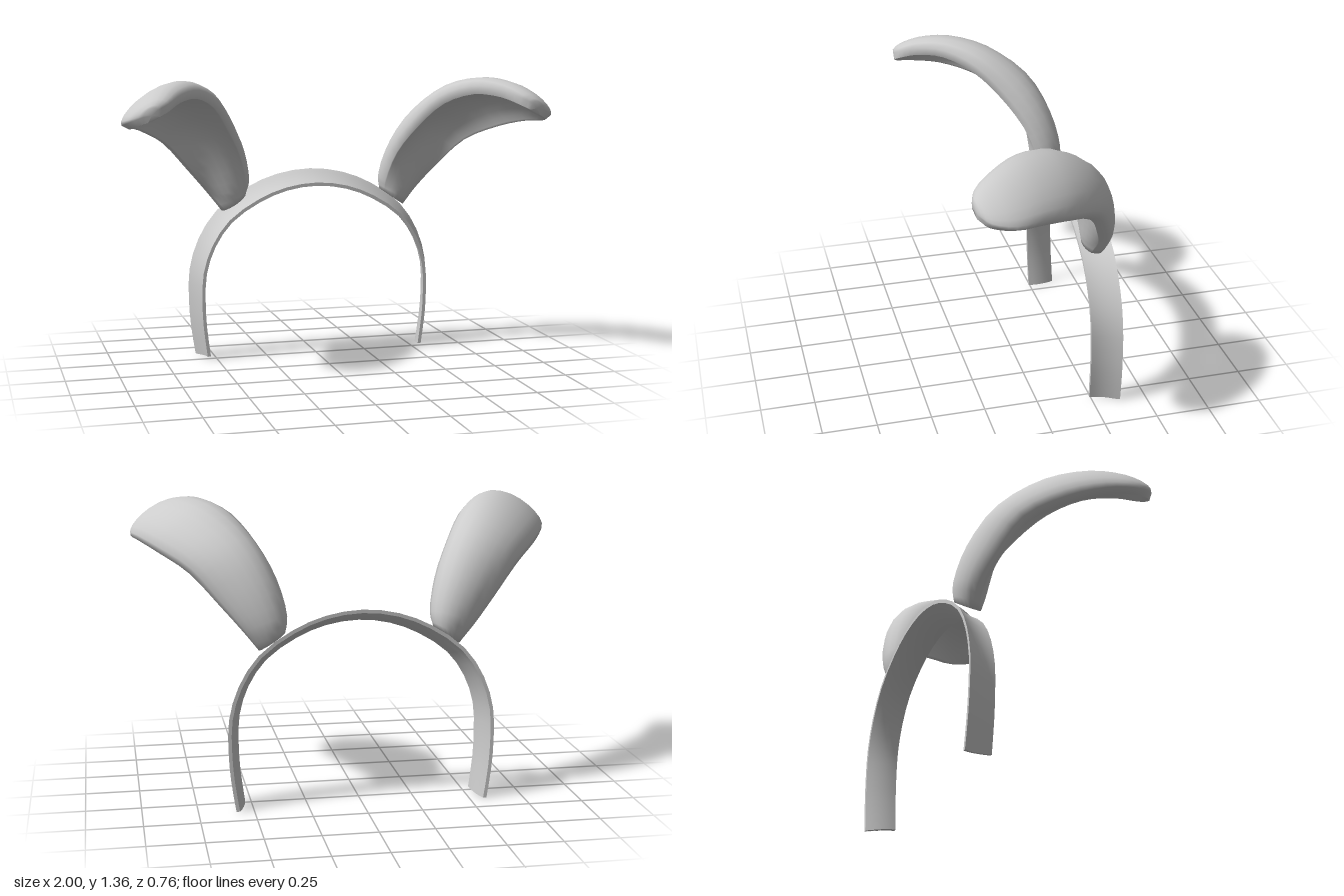
import * as THREE from 'three';
import { toCreasedNormals } from 'three/addons/utils/BufferGeometryUtils.js';

const V = (x, y, z) => new THREE.Vector3(x, y, z);
const curve = (pts) => new THREE.CatmullRomCurve3(pts.map((p) => V(...p)));

// Skin a list of closed rings and cap both ends
function loft(rings) {
  const n = rings[0].length, last = (rings.length - 1) * n, verts = rings.flat(), index = [];
  for (let i = 0; i < rings.length - 1; i++) {
    for (let j = 0; j < n; j++) {
      const a = i * n + j, b = i * n + (j + 1) % n;
      index.push(a, b, a + n, b, b + n, a + n);
    }
  }
  const centre = (ring) => ring.reduce((s, p) => s.add(p), V(0, 0, 0)).divideScalar(n);
  const c0 = verts.length, c1 = c0 + 1;
  const all = [...verts, centre(rings[0]), centre(rings[rings.length - 1])];
  for (let j = 0; j < n; j++) {
    const k = (j + 1) % n;
    index.push(c0, k, j, c1, last + j, last + k);
  }
  const g = new THREE.BufferGeometry().setFromPoints(all);
  g.setIndex(index);
  g.computeVertexNormals();
  return g;
}

// Thin strip bent over the head, flaring wider towards its back edge
function headbandGeometry() {
  const half = [[0.555, 0], [0.575, 0.15], [0.582, 0.28], [0.576, 0.42], [0.532, 0.56],
    [0.445, 0.688], [0.3, 0.79], [0.158, 0.847]];
  const path = curve([
    ...half.map(([x, y]) => [-x, y, 0]), [0, 0.868, 0],
    ...half.slice().reverse().map(([x, y]) => [x, y, 0]),
  ]);
  const steps = 32, across = 6, rings = [];
  for (let i = 0; i <= steps; i++) {
    const p = path.getPoint(i / steps), t = path.getTangent(i / steps);
    const out = V(-t.y, t.x, 0), drop = 1 - p.y / 0.87;
    const front = -0.225 - 0.015 * drop, back = -0.358 - 0.02 * drop;
    const flare = 0.036 - 0.01 * drop;
    // s runs from the back edge (0) to the front edge (1)
    const at = (s, thick) => {
      const dip = 0.01 * (1 - (2 * s - 1) ** 2);
      const offset = flare - (2 * flare - 0.016) * s - dip - thick;
      const q = p.clone().addScaledVector(out, offset);
      q.y = Math.max(q.y + 0.01 * s * drop, 0);
      q.z = back + (front - back) * s;
      return q;
    };
    const ring = [];
    for (let k = 0; k <= across; k++) ring.push(at(k / across, 0));
    for (let k = across; k >= 0; k--) ring.push(at(k / across, 0.016));
    rings.push(ring);
  }
  return toCreasedNormals(loft(rings), 0.9);
}

// Scooped ear: outer and inner edge curves, arched back, shallow hollow front
function earGeometry(side) {
  const outer = curve([[0.46, 0.72, -0.29], [0.53, 0.81, -0.3], [0.63, 0.925, -0.26],
    [0.755, 1.06, -0.185], [0.885, 1.135, -0.03], [0.965, 1.17, 0.12], [0.998, 1.18, 0.23],
    [0.975, 1.2, 0.325], [0.92, 1.225, 0.37]]);
  const inner = curve([[0.34, 0.8, -0.285], [0.33, 0.86, -0.255], [0.365, 1.01, -0.19],
    [0.44, 1.15, -0.09], [0.53, 1.27, 0.03], [0.64, 1.325, 0.16], [0.74, 1.315, 0.28],
    [0.81, 1.28, 0.36], [0.86, 1.255, 0.38]]);
  // height of the back and of the hollow at each station
  const depth = curve([[0.06, -0.06, 0], [0.09, -0.065, 0], [0.118, -0.025, 0],
    [0.13, 0.03, 0], [0.118, 0.045, 0], [0.092, 0.025, 0], [0.068, 0, 0],
    [0.042, -0.035, 0], [0.02, -0.03, 0]]);
  const mid = (t) => outer.getPoint(t).add(inner.getPoint(t)).multiplyScalar(0.5);
  const steps = 24, arc = 10, rings = [];
  for (let i = 0; i <= steps; i++) {
    const t = i / steps, m = mid(t), d = depth.getPoint(t);
    const w = outer.getPoint(t).sub(m), h = w.length();
    w.normalize();
    const dir = mid(Math.min(1, t + 0.05)).sub(mid(Math.max(0, t - 0.05)));
    const n = dir.cross(w).normalize();
    const put = (x, y) => {
      const q = m.clone().addScaledVector(w, x * h).addScaledVector(n, y);
      q.x *= side;
      return q;
    };
    const ring = [];
    for (let k = 0; k <= arc; k++) {
      const a = Math.PI * k / arc;
      ring.push(put(Math.cos(a), d.x * Math.sin(a) * (1 - 0.2 * Math.cos(a))));
    }
    for (let k = arc; k >= 0; k--) {
      const a = Math.PI * k / arc;
      ring.push(put(0.85 * Math.cos(a), -0.03 + (d.y + 0.03) * Math.sin(a) ** 2));
    }
    rings.push(side > 0 ? ring : ring.reverse());
  }
  return loft(rings);
}

export function createModel() {
  const group = new THREE.Group();
  const material = new THREE.MeshStandardMaterial({ color: 0xcccccc });
  const add = (name, geometry) => {
    const mesh = new THREE.Mesh(geometry, material);
    mesh.name = name;
    group.add(mesh);
  };
  add('headband', headbandGeometry());
  add('leftEar', earGeometry(1));
  add('rightEar', earGeometry(-1));
  return group;
}
